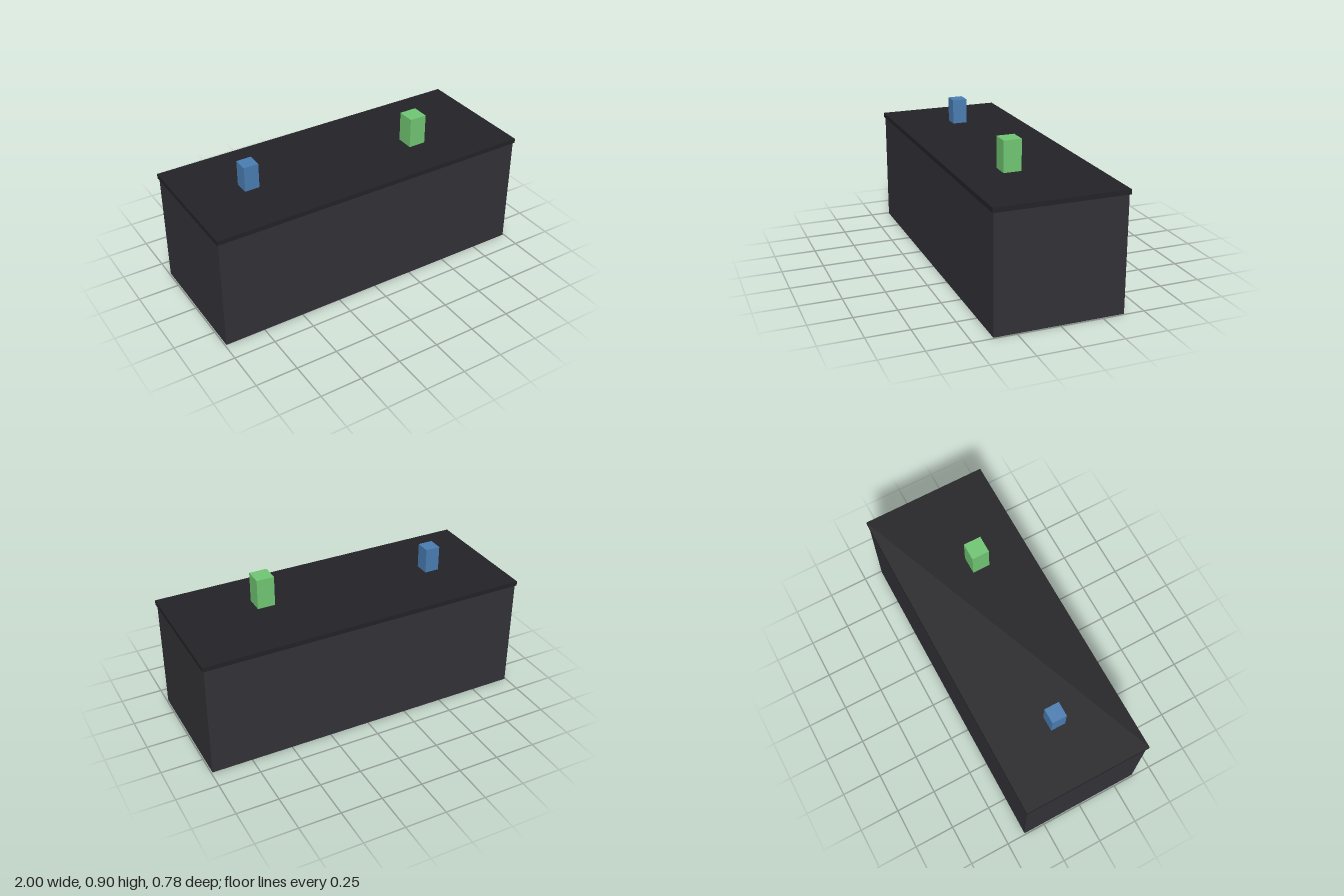
import * as THREE from 'three';

export function createModel() {
  const model = new THREE.Group();

  // Adds a box resting on height y0, centred on x and z
  function addBox(name, color, [w, h, d], [x, y0, z]) {
    const mesh = new THREE.Mesh(
      new THREE.BoxGeometry(w, h, d),
      new THREE.MeshStandardMaterial({ color })
    );
    mesh.name = name;
    mesh.position.set(x, y0 + h / 2, z);
    model.add(mesh);
  }

  const bodyHeight = 0.689;
  const topHeight = 0.717;

  // Counter body and its slightly overhanging top
  addBox('counterBody', 0x323136, [1.984, bodyHeight, 0.762], [0, 0, 0]);
  addBox('counterTop', 0x232226, [2, topHeight - bodyHeight, 0.777], [0, bodyHeight, 0]);

  // Small blocks standing on the counter
  addBox('blueBlock', 0x4a7db1, [0.09, 0.153, 0.09], [-0.613, topHeight, 0]);
  addBox('greenBlock', 0x70c573, [0.107, 0.184, 0.107], [0.454, topHeight, 0.078]);

  return model;
}
